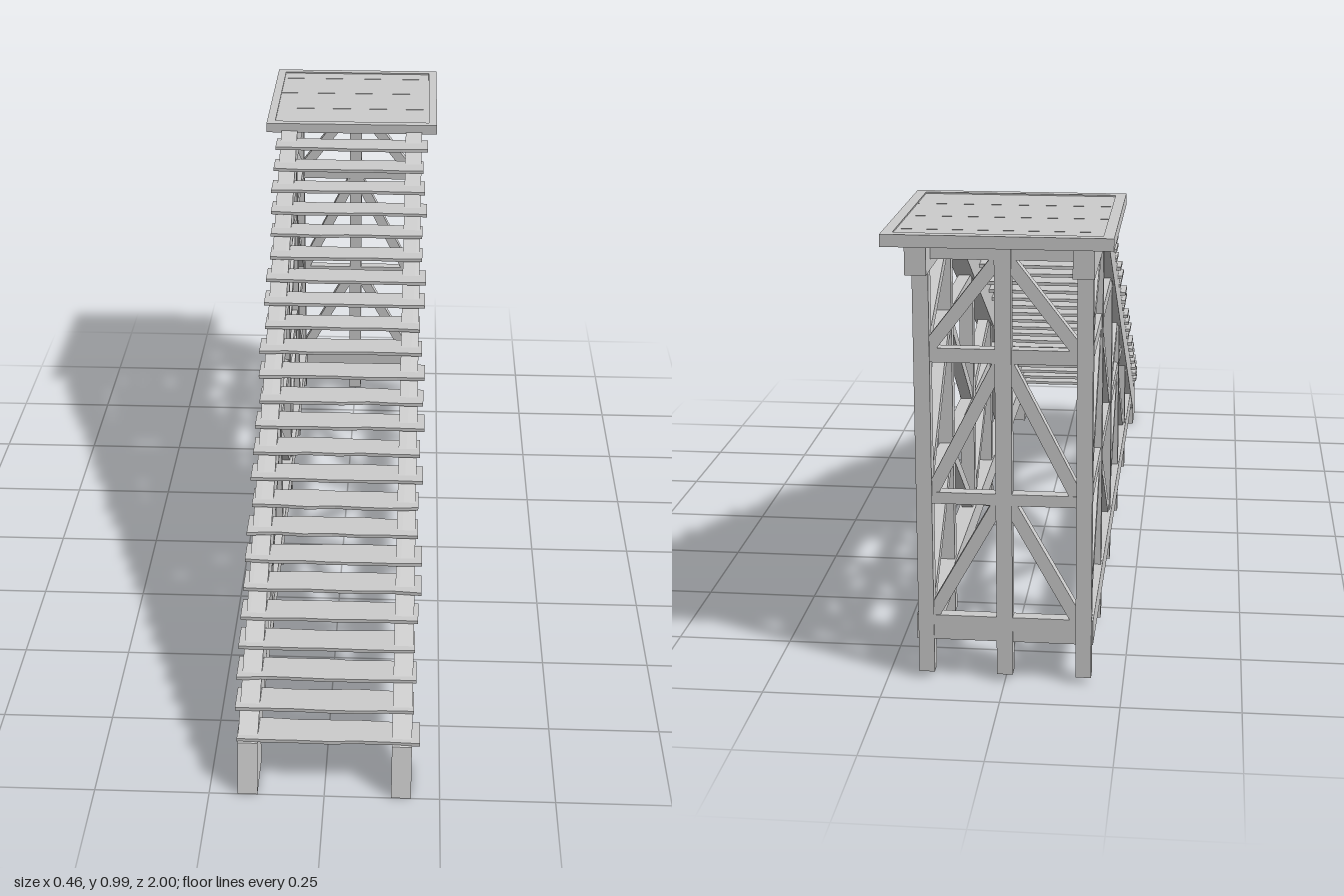
import * as THREE from 'three';

const material = new THREE.MeshStandardMaterial({ color: 0xcccccc, flatShading: true });

export function createModel() {
  const model = new THREE.Group();
  const add = (name, geometry) => {
    const mesh = new THREE.Mesh(geometry, material);
    mesh.name = name;
    model.add(mesh);
    return mesh;
  };
  // Axis-aligned timber given by its limits
  const box = (name, x0, x1, y0, y1, z0, z1) =>
    add(name, new THREE.BoxGeometry(x1 - x0, y1 - y0, z1 - z0))
      .position.set((x0 + x1) / 2, (y0 + y1) / 2, (z0 + z1) / 2);
  // Diagonal brace in the side plane, points are [z, y]
  const sideBrace = (x, [z0, y0], [z1, y1]) => {
    const m = add('sideBrace', new THREE.BoxGeometry(0.026, 0.026, Math.hypot(z1 - z0, y1 - y0)));
    m.position.set(x, (y0 + y1) / 2, (z0 + z1) / 2);
    m.rotation.x = -Math.atan2(y1 - y0, z1 - z0);
  };
  // Diagonal brace in the back plane, points are [x, y]
  const backBrace = ([x0, y0], [x1, y1]) => {
    const m = add('backBrace', new THREE.BoxGeometry(Math.hypot(x1 - x0, y1 - y0), 0.027, 0.024));
    m.position.set((x0 + x1) / 2, (y0 + y1) / 2, -0.885);
    m.rotation.z = Math.atan2(y1 - y0, x1 - x0);
  };
  let seed = 7;
  const random = () => (seed = (seed * 16807) % 2147483647) / 2147483647;

  // Stringer outline in (z, y), with a plumb-cut foot and a level top beam
  const outline = [[1, 0], [0.885, 0], [0.885, 0.05], [-0.53, 0.893], [-0.955, 0.893],
    [-0.955, 0.96], [-0.53, 0.965], [0.97, 0.115]];
  const shape = new THREE.Shape(outline.map(([z, y]) => new THREE.Vector2(-z, y)));

  // Posts as [z, top]
  const posts = [[0.46, 0.325], [0.11, 0.54], [-0.225, 0.735], [-0.575, 0.91], [-0.885, 0.91]];
  const braces = [
    [[0.11, 0.405], [0.45, 0.14]], [[0.11, 0.405], [-0.22, 0.14]],
    [[-0.575, 0.405], [-0.23, 0.14]], [[-0.575, 0.405], [-0.88, 0.14]],
    [[-0.575, 0.71], [-0.23, 0.42]], [[-0.575, 0.71], [-0.88, 0.42]],
    [[-0.575, 0.895], [-0.88, 0.73]], [[0.11, 0.535], [-0.225, 0.425]],
  ];

  for (const side of [-1, 1]) {
    const x = side * 0.1665;
    const stringer = new THREE.ExtrudeGeometry(shape, { depth: 0.043, bevelEnabled: false });
    stringer.rotateY(Math.PI / 2).translate(x - 0.0215, 0, 0);
    add('stringer', stringer);
    for (const [z, top] of posts) box('post', x - 0.0165, x + 0.0165, 0.015, top, z - 0.0155, z + 0.0155);
    // Long side rails
    box('bottomRail', x - 0.02, x + 0.02, 0.09, 0.145, -0.898, 0.8);
    box('middleRail', x - 0.014, x + 0.014, 0.395, 0.423, -0.895, 0.3);
    box('upperRail', x - 0.014, x + 0.014, 0.7, 0.73, -0.895, -0.22);
    for (const [a, b] of braces) sideBrace(x, a, b);
    // Back braces fanning down from the centre post
    for (const [y0, y1] of [[0.915, 0.73], [0.695, 0.415], [0.4, 0.145]])
      backBrace([side * 0.01, y0], [side * 0.152, y1]);
  }

  // Back frame
  box('centrePost', -0.017, 0.017, 0.015, 0.96, -0.9, -0.87);
  for (const [y0, y1] of [[0.09, 0.145], [0.395, 0.42], [0.7, 0.73], [0.915, 0.96]])
    box('backRail', -0.15, 0.15, y0, y1, -0.898, -0.872);

  // Rough treads: lengths vary and the long edges waver
  for (let i = 0; i < 24; i++) {
    const left = -0.19 - random() * 0.012, right = 0.19 + random() * 0.016;
    const tread = new THREE.BoxGeometry(right - left, 0.008, 0.072, 6, 1, 1);
    const waver = Array.from({ length: 14 }, () => (random() - 0.5) * 0.007);
    const p = tread.attributes.position;
    for (let v = 0; v < p.count; v++) {
      const column = Math.round((p.getX(v) / (right - left) + 0.5) * 6);
      p.setZ(v, p.getZ(v) + waver[column + (p.getZ(v) > 0 ? 7 : 0)]);
    }
    tread.computeVertexNormals();
    add('tread', tread).position.set((left + right) / 2, 0.12 + i * 0.0358, 0.93 - i * 0.0617);
  }

  // Platform: rim around crosswise planks
  const w = 0.228, rim = 0.022, back = -1, front = -0.535;
  for (const s of [-1, 1])
    box('platformSideRim', s > 0 ? w - rim : -w, s > 0 ? w : rim - w, 0.96, 0.985, back, front);
  box('platformBackRim', rim - w, w - rim, 0.96, 0.985, back, back + rim);
  box('platformFrontRim', rim - w, w - rim, 0.96, 0.985, front - rim, front);
  const cuts = [back + rim, -0.93, -0.8, -0.67, front - rim];
  for (let i = 0; i < 4; i++)
    box('platformPlank', rim - w, w - rim, 0.962, 0.982, cuts[i] + 0.001, cuts[i + 1] - 0.001);

  return model;
}
